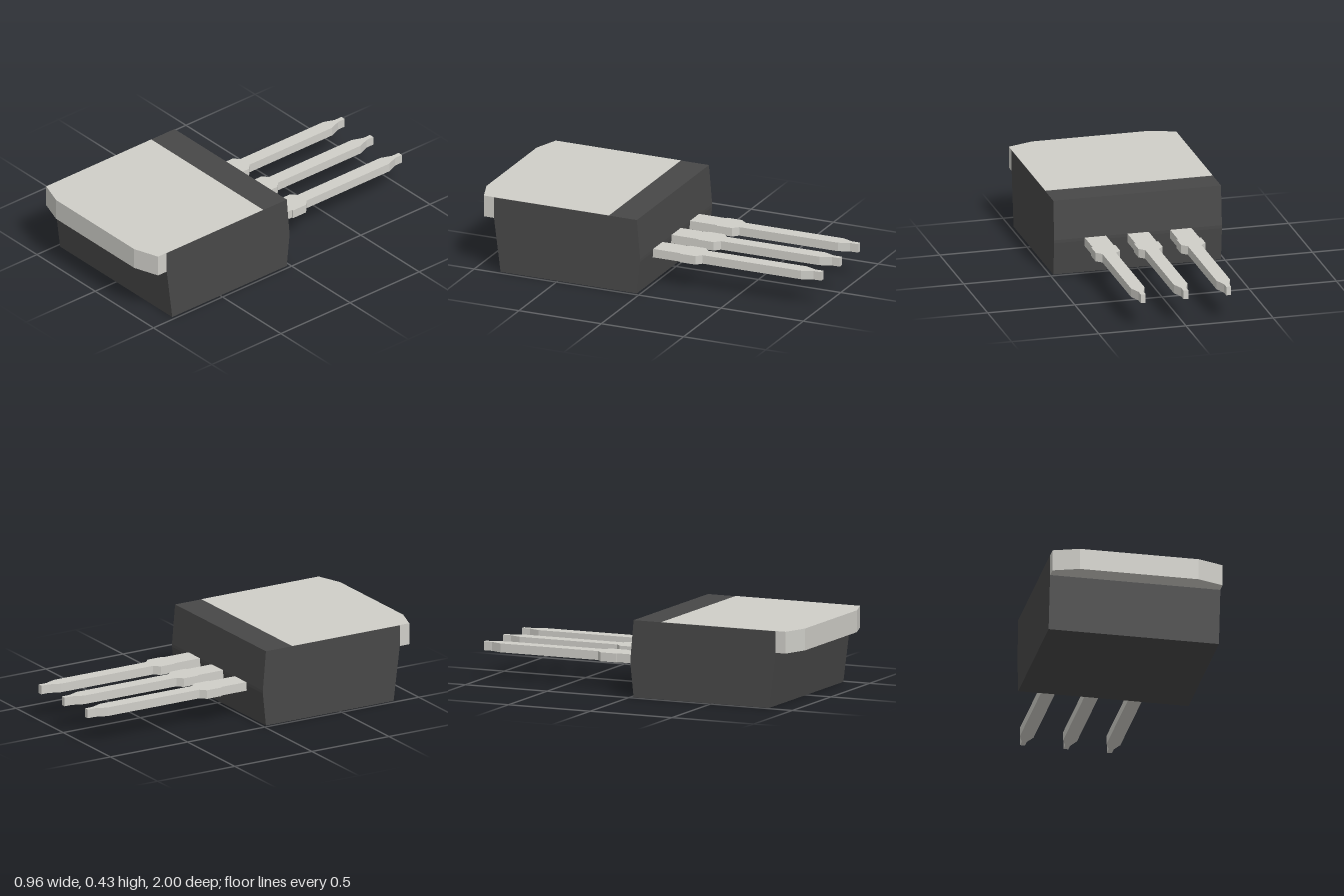
import * as THREE from 'three';

const metal = new THREE.MeshStandardMaterial({ color: 0xcfcec8, flatShading: true });
const plastic = new THREE.MeshStandardMaterial({ color: 0x484848, flatShading: true });

const extrude = (points, depth) => new THREE.ExtrudeGeometry(
  new THREE.Shape(points.map(([a, b]) => new THREE.Vector2(a, b))),
  { depth, bevelEnabled: false });

// Flat plate, symmetric in x, from [half width, z] pairs
function plate(half, y0, y1) {
  const right = half.map(([x, z]) => [x, -z]);
  const left = half.map(([x, z]) => [-x, -z]).reverse();
  return extrude([...right, ...left], y1 - y0).rotateX(-Math.PI / 2).translate(0, y0, 0);
}

function add(parent, name, geometry, material) {
  const mesh = new THREE.Mesh(geometry, material);
  mesh.name = name;
  parent.add(mesh);
  return mesh;
}

export function createModel() {
  const model = new THREE.Group();
  model.name = 'transistorPackage';

  // Moulded case: side profile as [z, y], swept across the width
  const width = 0.962;
  const profile = [[0.02, 0], [0.848, 0], [0.888, 0.312], [0.888, 0.433], [0.02, 0.433], [0, 0.207], [0, 0.19]];
  add(model, 'case', extrude(profile, width).rotateY(-Math.PI / 2).translate(width / 2, 0, 0), plastic);

  // Metal tab set into the top, overhanging the front with clipped corners
  add(model, 'heatTab', plate([[0.48, 0.19], [0.48, 0.95], [0.335, 1]], 0.312, 0.4345), metal);

  // Three stepped pins with narrowed tips
  const pinOutline = [[0.061, 0.04], [0.061, -0.165], [0.07, -0.165], [0.07, -0.26],
    [0.039, -0.29], [0.039, -0.888], [0.014, -0.952], [0.014, -1]];
  const pinGeometry = plate(pinOutline, 0.157, 0.207);
  ['rightPin', 'middlePin', 'leftPin'].forEach((name, i) => {
    add(model, name, pinGeometry, metal).position.x = (i - 1) * 0.245;
  });

  return model;
}
